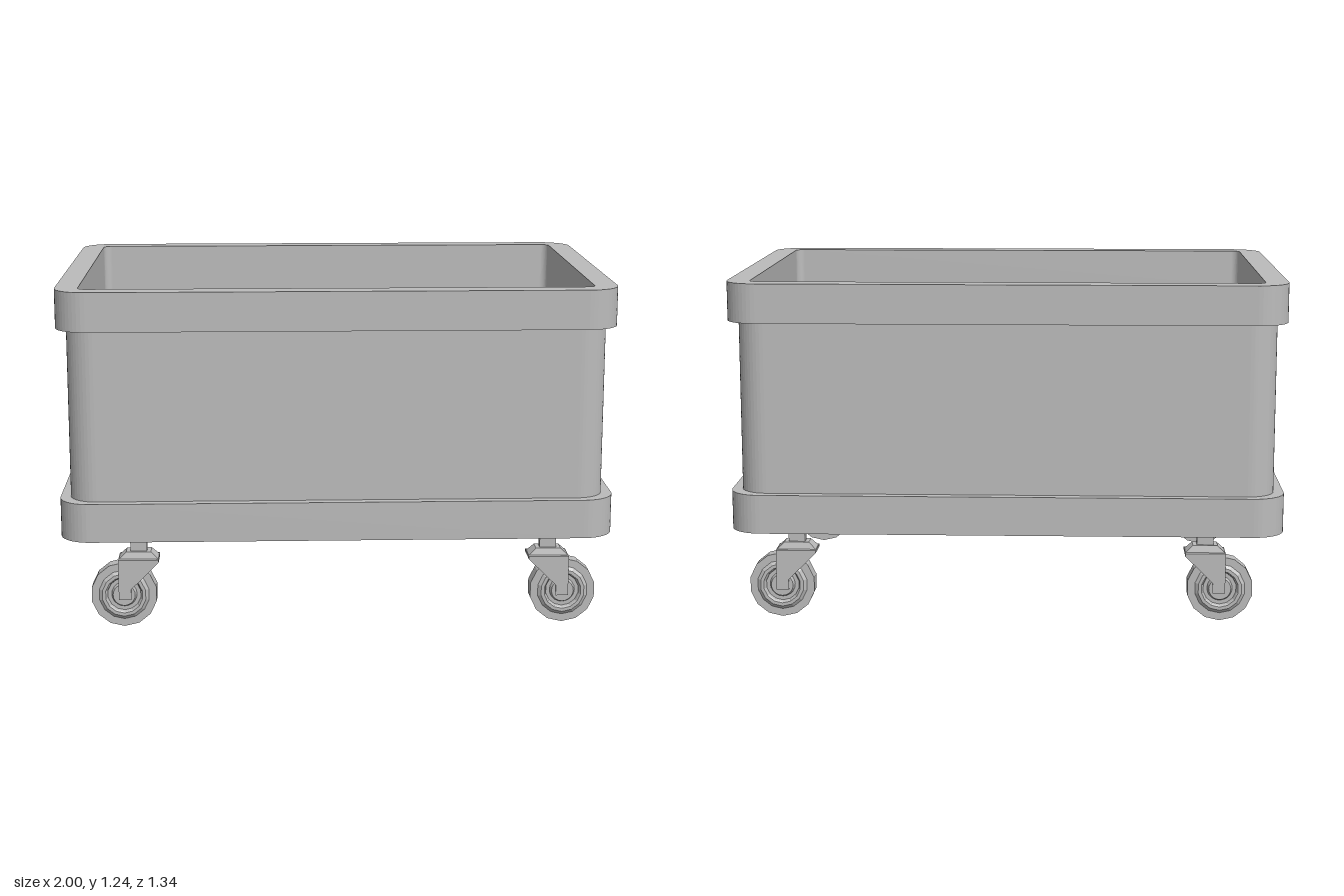
import * as THREE from 'three';

const grey = new THREE.MeshStandardMaterial({ color: 0xbcbcbc, flatShading: true });
grey.name = 'grey plastic';

function part(name, geometry, x = 0, y = 0, z = 0) {
  const mesh = new THREE.Mesh(geometry, grey);
  mesh.name = name;
  mesh.position.set(x, y, z);
  return mesh;
}

// Trace a rounded rectangle given half width, half depth and corner radius
function trace(path, w, d, r) {
  path.moveTo(-w + r, -d);
  path.lineTo(w - r, -d);
  path.absarc(w - r, -d + r, r, -Math.PI / 2, 0);
  path.lineTo(w, d - r);
  path.absarc(w - r, d - r, r, 0, Math.PI / 2);
  path.lineTo(-w + r, d);
  path.absarc(-w + r, d - r, r, Math.PI / 2, Math.PI);
  path.lineTo(-w, -d + r);
  path.absarc(-w + r, -d + r, r, Math.PI, Math.PI * 1.5);
  return path;
}

// Upright slab between two heights, optionally hollowed by the tub opening
function slab(name, w, d, r, y0, y1, hollow) {
  const shape = trace(new THREE.Shape(), w, d, r);
  if (hollow) shape.holes.push(trace(new THREE.Path(), 0.917, 0.592, 0.03));
  const g = new THREE.ExtrudeGeometry(shape, { depth: y1 - y0, bevelEnabled: false, curveSegments: 6 });
  g.rotateX(-Math.PI / 2);
  return part(name, g, 0, y0, 0);
}

// Lathe turned to spin about z, from half a profile mirrored to both sides
function turned(name, half, segments) {
  const points = half.map(([r, z]) => new THREE.Vector2(r, -z));
  for (const [r, z] of [...half].reverse()) points.push(new THREE.Vector2(r, z));
  const g = new THREE.LatheGeometry(points, segments);
  g.rotateX(Math.PI / 2);
  return part(name, g, -0.055, 0.12, 0);
}

// Swivel caster, wheel trailing towards -x
function caster() {
  const group = new THREE.Group();
  group.name = 'caster';
  group.add(part('stem', new THREE.BoxGeometry(0.06, 0.06, 0.035), 0, 0.305, 0));

  // Tapered cap above the fork
  const cap = new THREE.BoxGeometry(0.144, 0.026, 0.072);
  const p = cap.attributes.position;
  for (let i = 0; i < p.count; i++) {
    if (p.getY(i) > 0) p.setXYZ(i, p.getX(i) * 0.62, p.getY(i), p.getZ(i) * 0.82);
  }
  group.add(part('swivelCap', cap, 0, 0.267, 0));

  // Fork: top plate and two tapering cheeks
  group.add(part('forkPlate', new THREE.BoxGeometry(0.146, 0.01, 0.106), 0, 0.25, 0));
  const cheek = new THREE.Shape([
    [-0.073, 0.107], [-0.028, 0.107], [-0.028, 0.145], [0.073, 0.245], [-0.073, 0.245],
  ].map(([x, y]) => new THREE.Vector2(x, y)));
  const cheekGeometry = new THREE.ExtrudeGeometry(cheek, { depth: 0.008, bevelEnabled: false });
  for (const z of [0.045, -0.053]) group.add(part('forkCheek', cheekGeometry, 0, 0, z));

  // Tyre, recessed hub and axle
  group.add(turned('tyre', [
    [0.06, 0.02], [0.064, 0.034], [0.068, 0.038], [0.08, 0.038], [0.092, 0.029], [0.12, 0.029],
  ], 14));
  group.add(turned('hub', [[0, 0.036], [0.04, 0.036], [0.046, 0.022], [0.065, 0.022]], 20));
  group.add(turned('axle', [[0, 0.05], [0.012, 0.05]], 10));
  return group;
}

export function createModel() {
  const model = new THREE.Group();
  model.name = 'tubTrolley';

  // Open tub with a base and a thick rim
  model.add(slab('base', 1, 0.672, 0.115, 0.333, 0.474, false));
  model.add(slab('walls', 0.964, 0.637, 0.1, 0.474, 1.094, true));
  model.add(slab('rim', 1, 0.672, 0.115, 1.094, 1.235, true));

  // Casters, turned half round on the other end
  for (const z of [0.583, -0.552]) {
    const right = caster();
    right.position.set(-0.72, 0, z);
    const left = caster();
    left.position.set(0.767, 0, z);
    left.rotation.y = Math.PI;
    model.add(right, left);
  }
  return model;
}
